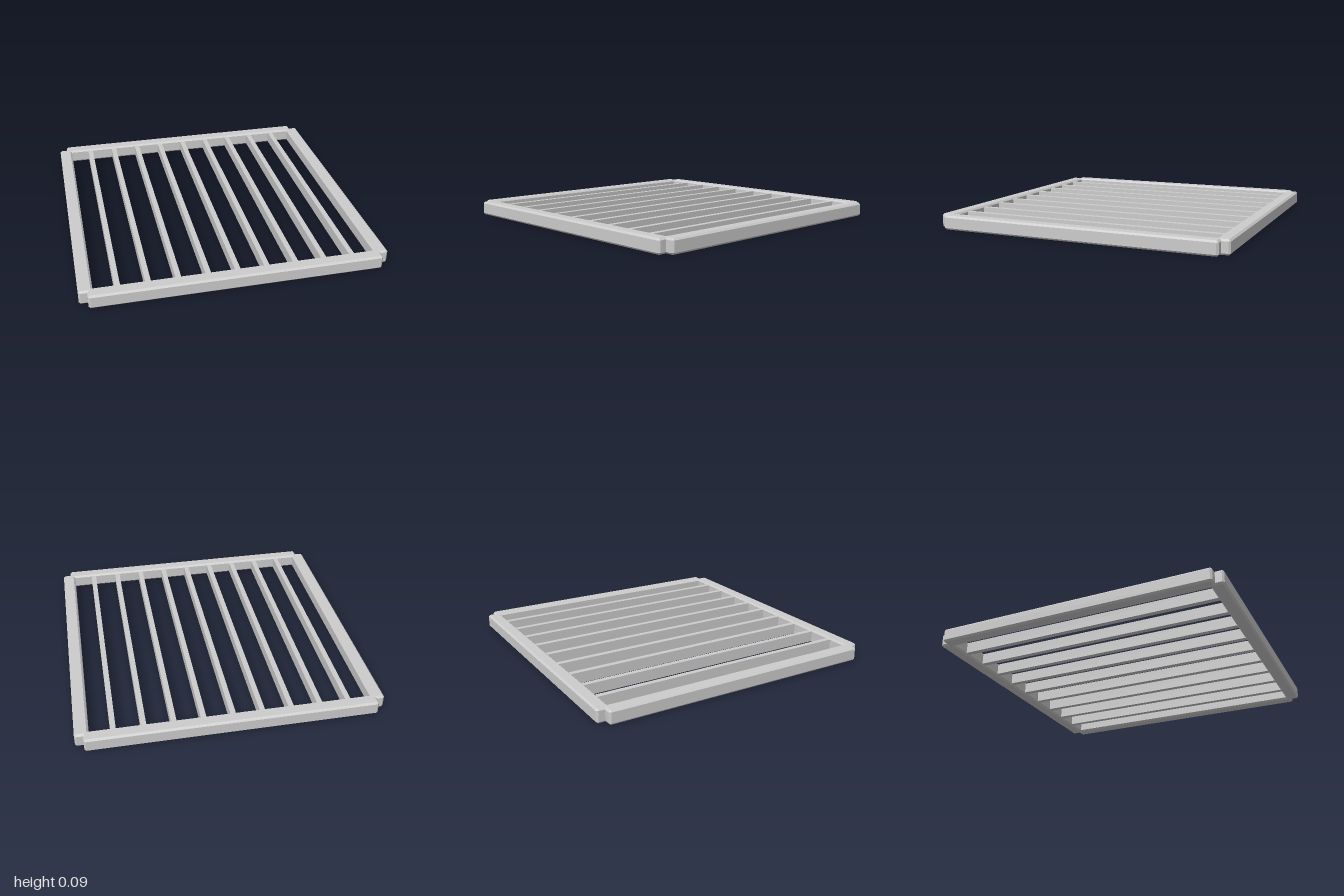
import * as THREE from 'three';
import { ConvexGeometry } from 'three/addons/geometries/ConvexGeometry.js';

// Box with all edges chamfered by c
function chamferBox(w, h, d, c) {
  const half = [w / 2, h / 2, d / 2];
  const points = [];
  for (const sx of [-1, 1]) for (const sy of [-1, 1]) for (const sz of [-1, 1]) {
    for (let axis = 0; axis < 3; axis++) {
      const p = half.map((v, i) => (i === axis ? v : v - c));
      points.push(new THREE.Vector3(p[0] * sx, p[1] * sy, p[2] * sz));
    }
  }
  return new ConvexGeometry(points);
}

export function createModel() {
  const group = new THREE.Group();
  group.name = 'slattedFrame';
  const grey = new THREE.MeshStandardMaterial({ color: 0xcccccc });
  grey.name = 'lightGrey';

  const height = 0.095, railWidth = 0.09, railLength = 1.89, chamfer = 0.012;
  const add = (name, geometry, x, z) => {
    const mesh = new THREE.Mesh(geometry, grey);
    mesh.name = name;
    mesh.position.set(x, height / 2, z);
    group.add(mesh);
  };

  // Four outer rails, stopping short to leave notched corners
  const offset = 1 - railWidth / 2;
  const crossRail = chamferBox(railLength, height, railWidth, chamfer);
  const sideRail = chamferBox(railWidth, height, railLength, chamfer);
  add('frontRail', crossRail, 0, offset);
  add('backRail', crossRail, 0, -offset);
  add('leftRail', sideRail, offset, 0);
  add('rightRail', sideRail, -offset, 0);

  // Nine evenly spaced slats running front to back
  const slat = new THREE.BoxGeometry(0.036, 0.075, 1.83);
  for (let i = -4; i <= 4; i++) add(`slat${i + 5}`, slat, i * 0.19, 0);

  return group;
}
